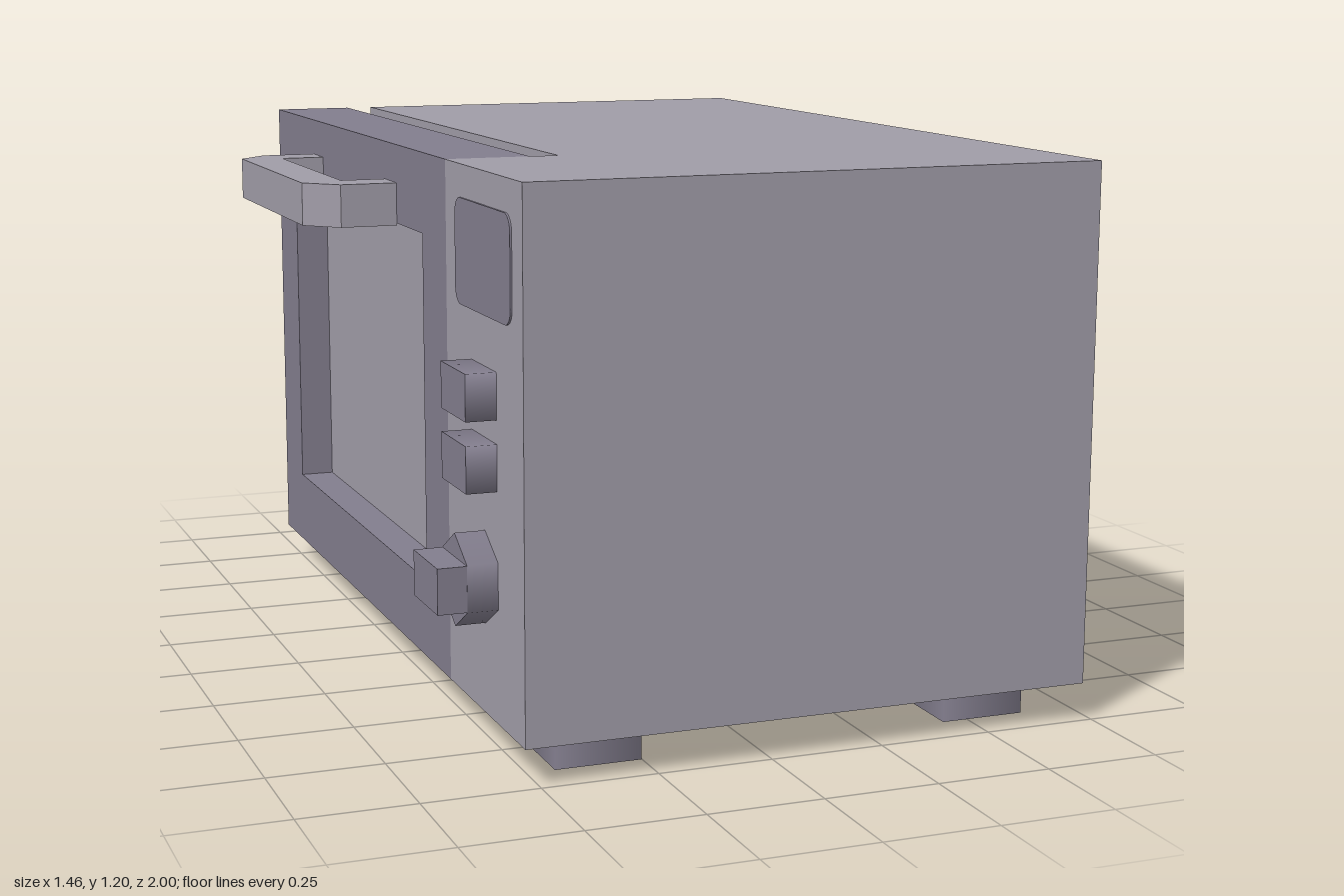
import * as THREE from 'three';

export function createModel() {
  const group = new THREE.Group();
  group.name = 'microwaveOven';

  const casing = new THREE.MeshStandardMaterial({ color: 0xa09ca7 });
  casing.name = 'light grey casing';
  const trim = new THREE.MeshStandardMaterial({ color: 0x827d8d });
  trim.name = 'dark grey trim';

  const BOTTOM = 0.083, TOP = 1.203, HEIGHT = TOP - BOTTOM;
  const FRONT = -0.533, MID_Y = (TOP + BOTTOM) / 2;

  const add = (name, geometry, material, x = 0, y = 0, z = 0) => {
    const mesh = new THREE.Mesh(geometry, material);
    mesh.name = name;
    mesh.position.set(x, y, z);
    group.add(mesh);
    return mesh;
  };
  const polygon = (points) => new THREE.Shape(points.map(([a, b]) => new THREE.Vector2(a, b)));
  const rectangle = (z0, y0, z1, y1) => polygon([[z0, y0], [z1, y0], [z1, y1], [z0, y1]]);
  // Plan outline in (x, z), extruded downwards from y = 0
  const plan = (shape, depth) =>
    new THREE.ExtrudeGeometry(shape, { depth, bevelEnabled: false }).rotateX(Math.PI / 2);
  // Elevation outline in (z, y), extruded towards -x from x = 0
  const elevation = (shape, depth) =>
    new THREE.ExtrudeGeometry(shape, { depth, bevelEnabled: false, curveSegments: 5 }).rotateY(-Math.PI / 2);
  // Soft-shaded square block, standing on the y axis
  const softBlock = (width, height, depth) =>
    new THREE.CylinderGeometry(Math.SQRT1_2, Math.SQRT1_2, 1, 4, 1, false, Math.PI / 4)
      .scale(width, height, depth);

  // Casing, with a full-height recess for the door
  add('casing', plan(polygon([
    [-0.285, -1], [0.727, -1], [0.727, 1], [FRONT, 1], [FRONT, 0.5], [-0.285, 0.5],
  ]), HEIGHT), casing, 0, TOP, 0);

  // Door frame with window opening
  const frame = rectangle(-1, BOTTOM, 0.5, TOP);
  frame.holes.push(rectangle(-0.825, BOTTOM + 0.175, 0.325, TOP - 0.175));
  add('doorFrame', elevation(frame, 0.185), trim, FRONT + 0.185, 0, 0);
  add('doorWindow', new THREE.BoxGeometry(0.008, HEIGHT - 0.35, 1.15), casing, FRONT + 0.084, MID_Y, -0.25);

  // Door back, tapering towards the casing
  const back = new THREE.BoxGeometry(0.063, HEIGHT, 1.5);
  const p = back.attributes.position;
  for (let i = 0; i < p.count; i++) {
    if (p.getX(i) > 0) {
      p.setY(i, p.getY(i) - Math.sign(p.getY(i)) * 0.06);
      p.setZ(i, p.getZ(i) - Math.sign(p.getZ(i)) * 0.06);
    }
  }
  back.computeVertexNormals();
  add('doorBack', back, trim, -0.3165, MID_Y, -0.25);

  // Bracket handle with cut outer corners
  add('doorHandle', plan(polygon([
    [FRONT, -0.63], [-0.66, -0.63], [-0.73, -0.56], [-0.73, 0.055], [-0.66, 0.125], [FRONT, 0.125],
    [FRONT, 0.03], [-0.635, 0.03], [-0.635, -0.535], [FRONT, -0.535],
  ]), 0.095), casing, 0, 1.118, 0);

  // Display: thin rounded plate
  const r = 0.035, z0 = 0.575, z1 = 0.935, y0 = 0.915, y1 = 1.135;
  const screen = new THREE.Shape();
  screen.absarc(z1 - r, y1 - r, r, 0, Math.PI / 2);
  screen.absarc(z0 + r, y1 - r, r, Math.PI / 2, Math.PI);
  screen.absarc(z0 + r, y0 + r, r, Math.PI, Math.PI * 1.5);
  screen.absarc(z1 - r, y0 + r, r, Math.PI * 1.5, Math.PI * 2);
  add('display', elevation(screen, 0.004), trim, FRONT, 0, 0);

  // Two push buttons
  for (const y of [0.762, 0.616]) {
    add('button', softBlock(0.097, 0.065, 0.165).rotateZ(Math.PI / 2), trim, FRONT - 0.0325, y, 0.75);
  }

  // Hexagonal dial with a raised grip
  add('dial', new THREE.CylinderGeometry(0.0975, 0.0975, 0.065, 6, 1, false, Math.PI / 6)
    .rotateZ(Math.PI / 2), trim, FRONT - 0.0325, 0.373, 0.75);
  add('dialGrip', new THREE.BoxGeometry(0.065, 0.096, 0.168), trim, FRONT - 0.0945, 0.373, 0.75);

  // Feet
  for (const x of [-0.345, 0.537]) {
    for (const z of [-0.813, 0.813]) {
      add('foot', softBlock(0.188, BOTTOM, 0.188), trim, x, BOTTOM / 2, z);
    }
  }

  return group;
}
